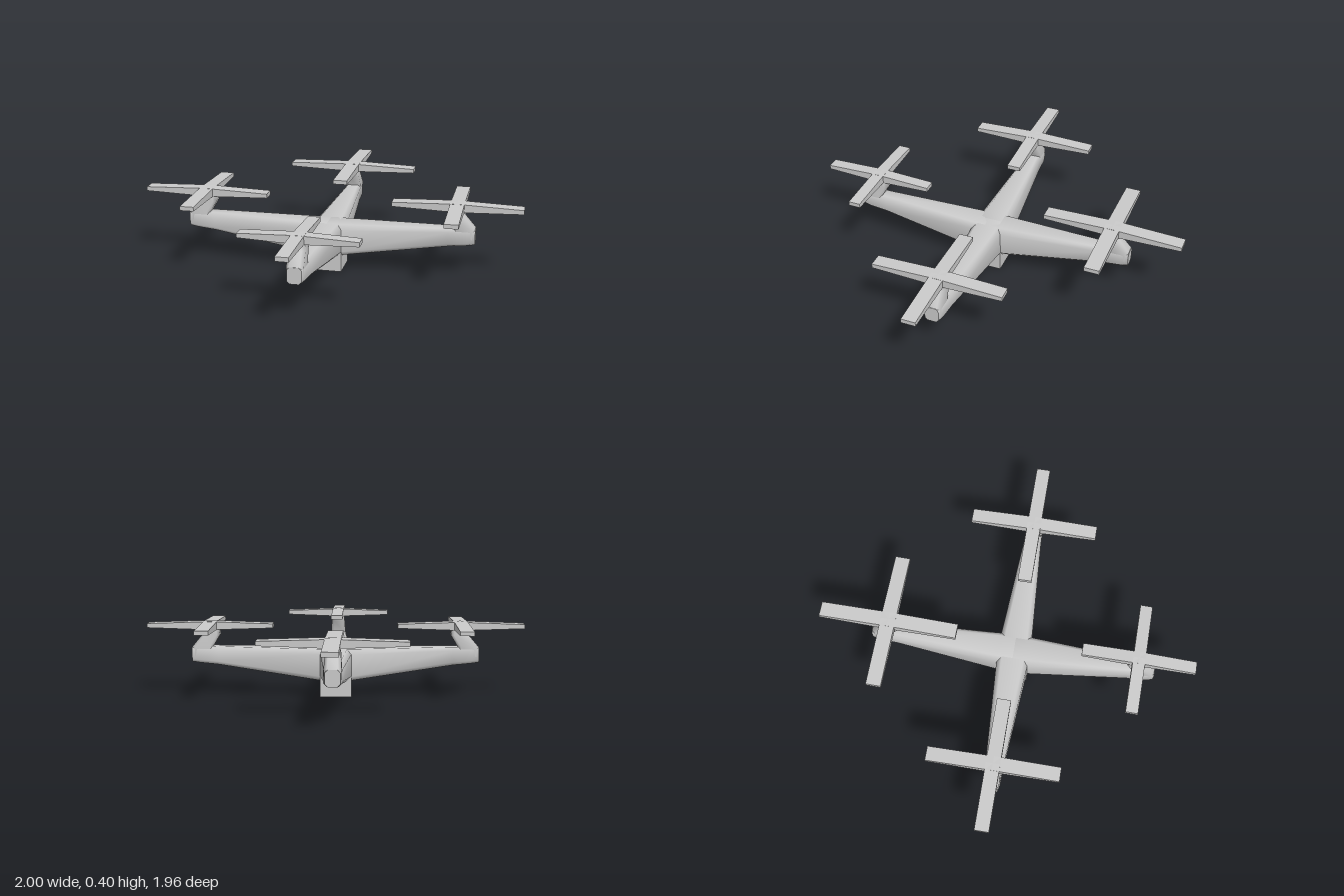
import * as THREE from 'three';

const material = new THREE.MeshStandardMaterial({ color: 0xcccccc });
const CX = -0.005, CZ = 0.04;

// Chamfered rectangle as [a, b] pairs, running from the +a side towards +b.
function chamferedRect(ha, hb, c) {
  if (c === 0) return [[ha, -hb], [ha, hb], [-ha, hb], [-ha, -hb]];
  const a = ha - c, b = hb - c;
  return [[ha, -b], [ha, b], [a, hb], [-a, hb], [-ha, b], [-ha, -b], [-a, -hb], [a, -hb]];
}

// Skin a list of rings and close both ends with flat caps.
function loft(rings, flat) {
  const n = rings[0].length, pos = [], idx = [];
  rings.forEach((r) => r.forEach((p) => pos.push(...p)));
  for (let i = 0; i < rings.length - 1; i++) {
    for (let j = 0; j < n; j++) {
      const k = (j + 1) % n, a = i * n, b = a + n;
      idx.push(a + j, a + k, b + j, a + k, b + k, b + j);
    }
  }
  [[rings[0], true], [rings[rings.length - 1], false]].forEach(([ring, start]) => {
    const base = pos.length / 3;
    ring.forEach((p) => pos.push(...p));
    for (let j = 1; j < n - 1; j++) {
      if (start) idx.push(base, base + j + 1, base + j);
      else idx.push(base, base + j, base + j + 1);
    }
  });
  let g = new THREE.BufferGeometry();
  g.setAttribute('position', new THREE.Float32BufferAttribute(pos, 3));
  g.setIndex(idx);
  if (flat) g = g.toNonIndexed();
  g.computeVertexNormals();
  return g;
}

// Ring across the x axis between two heights.
const ringX = (x, y0, y1, hw, c) =>
  chamferedRect((y1 - y0) / 2, hw, c).map(([a, b]) => [x, (y0 + y1) / 2 + a, b]);

// Horizontal ring between two x positions.
const ringY = (y, x0, x1, hw, c) =>
  chamferedRect(hw, (x1 - x0) / 2, c).map(([a, b]) => [(x0 + x1) / 2 + b, y, a]);

function add(parent, name, geometry) {
  const mesh = new THREE.Mesh(geometry, material);
  mesh.name = name;
  parent.add(mesh);
  return mesh;
}

// Four tapered blades crossing at a hub.
function makeRotor(radius) {
  const rotor = new THREE.Group();
  rotor.name = 'rotor';
  const hw = radius * 0.108;
  const blade = loft([ringX(0, -0.022, 0.022, hw, 0), ringX(radius, -0.011, 0.011, hw, 0)], true);
  for (let i = 0; i < 4; i++) add(rotor, 'blade', blade).rotation.y = i * Math.PI / 2;
  return rotor;
}

// Arm along +x with an upright neck that leans inwards, topped by a rotor.
function makeArm(reach, rotorRadius, spin) {
  const arm = new THREE.Group();
  arm.name = 'arm';
  add(arm, 'boom', loft([
    ringX(0, 0.085, 0.253, 0.082, 0.025),
    ringX(0.083, 0.085, 0.253, 0.082, 0.025),
    ringX(reach - 0.04, 0.165, 0.262, 0.047, 0.018),
    ringX(reach + 0.06, 0.175, 0.264, 0.044, 0.016),
    ringX(reach + 0.1, 0.18, 0.262, 0.036, 0.014),
  ]));
  add(arm, 'neck', loft([
    ringY(0.21, reach - 0.02, reach + 0.098, 0.04, 0.014),
    ringY(0.262, reach - 0.012, reach + 0.098, 0.042, 0.016),
    ringY(0.325, reach - 0.05, reach + 0.045, 0.038, 0.016),
    ringY(0.352, reach - 0.046, reach + 0.042, 0.035, 0.016),
  ]));
  const hub = add(arm, 'hub', new THREE.CylinderGeometry(0.025, 0.025, 0.04, 12));
  hub.position.set(reach, 0.36, 0);
  const rotor = makeRotor(rotorRadius);
  rotor.position.set(reach + 0.003, 0.373, 0);
  rotor.rotation.y = spin;
  arm.add(rotor);
  return arm;
}

export function createModel() {
  const model = new THREE.Group();
  model.name = 'quadcopter';

  // Square block hanging under the crossing of the arms
  const body = add(model, 'body', new THREE.BoxGeometry(0.165, 0.16, 0.165));
  body.position.set(CX, 0.08, CZ);

  // Heading, reach, rotor radius and blade angle of each arm
  const arms = [
    ['leftArm', 0, 0.667, 0.335, 0],
    ['backArm', Math.PI / 2, 0.658, 0.36, -0.014],
    ['rightArm', Math.PI, 0.659, 0.335, 0],
    ['frontArm', -Math.PI / 2, 0.642, 0.293, -0.014],
  ];
  arms.forEach(([name, heading, reach, radius, spin]) => {
    const arm = makeArm(reach, radius, spin);
    arm.name = name;
    arm.position.set(CX, 0, CZ);
    arm.rotation.y = heading;
    model.add(arm);
  });
  return model;
}
